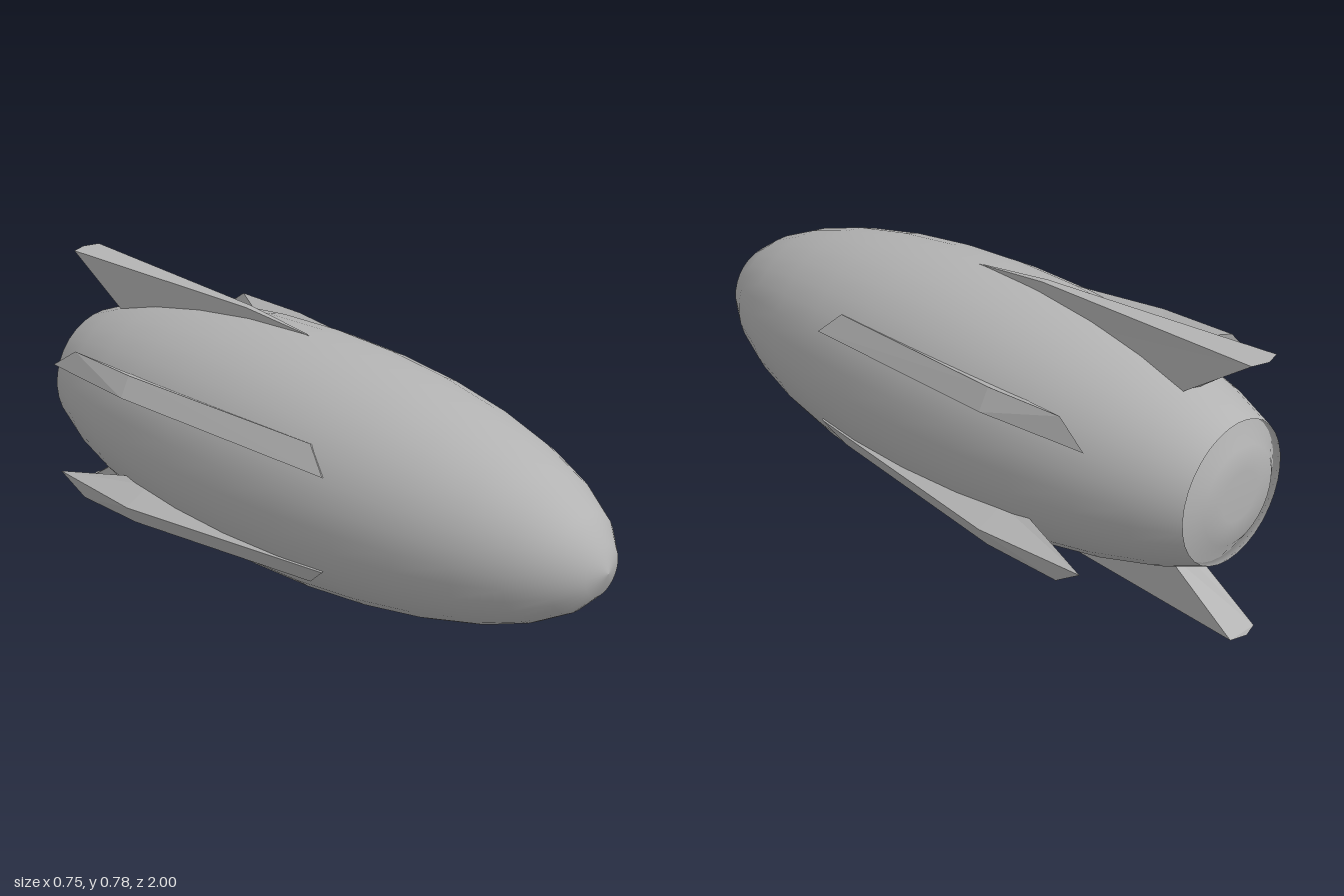
import * as THREE from 'three';

const CY = 0.389; // height of the hull axis

// Closed faceted solid lofted through rings of [x, y, z] running from nose to tail,
// y measured from the hull axis; sx and sy mirror it.
function loft(rings, sx, sy) {
  const pos = [];
  const tri = (a, b, c) => {
    for (const p of sx * sy < 0 ? [a, c, b] : [a, b, c]) pos.push(p[0] * sx, CY + p[1] * sy, p[2]);
  };
  const n = rings[0].length;
  for (let s = 0; s < rings.length - 1; s++) {
    const r = rings[s], q = rings[s + 1];
    for (let j = 0; j < n; j++) {
      const k = (j + 1) % n;
      tri(r[j], r[k], q[j]);
      tri(r[k], q[k], q[j]);
    }
  }
  const first = rings[0], last = rings[rings.length - 1];
  for (let j = 1; j < n - 1; j++) {
    tri(last[0], last[j], last[j + 1]);
    tri(first[0], first[j + 1], first[j]);
  }
  const g = new THREE.BufferGeometry();
  g.setAttribute('position', new THREE.Float32BufferAttribute(pos, 3));
  g.computeVertexNormals();
  return g;
}

// Ring of a wedge fin: half width, outer and inner radius, and z of each edge
const wedgeRing = (w, wi, ro, ri, zo, zi, bulge = 0) => [
  [-w, ro, zo], [0, ro, zo - bulge], [w, ro, zo],
  [wi, ri, zi], [0, ri, zi - bulge], [-wi, ri, zi],
];

export function createModel() {
  const group = new THREE.Group();
  const grey = new THREE.MeshStandardMaterial({ color: 0xb3b3b3 });
  grey.name = 'hullGrey';
  const add = (name, geometry) => {
    const mesh = new THREE.Mesh(geometry, grey);
    mesh.name = name;
    group.add(mesh);
  };

  // Hull: stretched ellipsoid with a blunted tail
  const profile = [[0, -0.945], [0.07, -0.945], [0.136, -0.94], [0.197, -0.9]];
  for (let k = 5; k >= -8; k--) {
    const a = (k * Math.PI) / 16;
    profile.push([Math.max(0, 0.355 * Math.cos(a)), -0.05 - 1.05 * Math.sin(a)]);
  }
  const hull = new THREE.LatheGeometry(profile.map(([r, z]) => new THREE.Vector2(r, z)), 32);
  hull.rotateX(Math.PI / 2);
  hull.translate(0, CY, 0);
  add('hull', hull);

  // Upper and lower wedge fins, widening toward a swept tail
  const wedge = [
    wedgeRing(0.001, 0.001, 0.352, 0.3, 0, -0.08),
    wedgeRing(0.011, 0.011, 0.378, 0.28, -0.27, -0.27),
    wedgeRing(0.049, 0.042, 0.389, 0.22, -0.985, -0.74, 0.015),
  ];
  add('upperFin', loft(wedge, 1, 1));
  add('lowerFin', loft(wedge, 1, -1));

  // Four side fins: inner top, outer top, outer bottom, inner bottom
  const strip = [
    [[0.25, 0.19, 0.24], [0.277, 0.205, 0.24], [0.306, 0.14, 0.31], [0.28, 0.128, 0.31]],
    [[0.265, 0.188, -0.4], [0.343, 0.231, -0.4], [0.375, 0.172, -0.4], [0.29, 0.132, -0.4]],
    [[0.262, 0.186, -0.46], [0.338, 0.235, -0.64], [0.35, 0.173, -0.73], [0.29, 0.132, -0.5]],
  ];
  for (const sx of [1, -1])
    for (const sy of [1, -1])
      add((sx > 0 ? 'left' : 'right') + (sy > 0 ? 'Upper' : 'Lower') + 'SideFin', loft(strip, sx, sy));

  return group;
}
